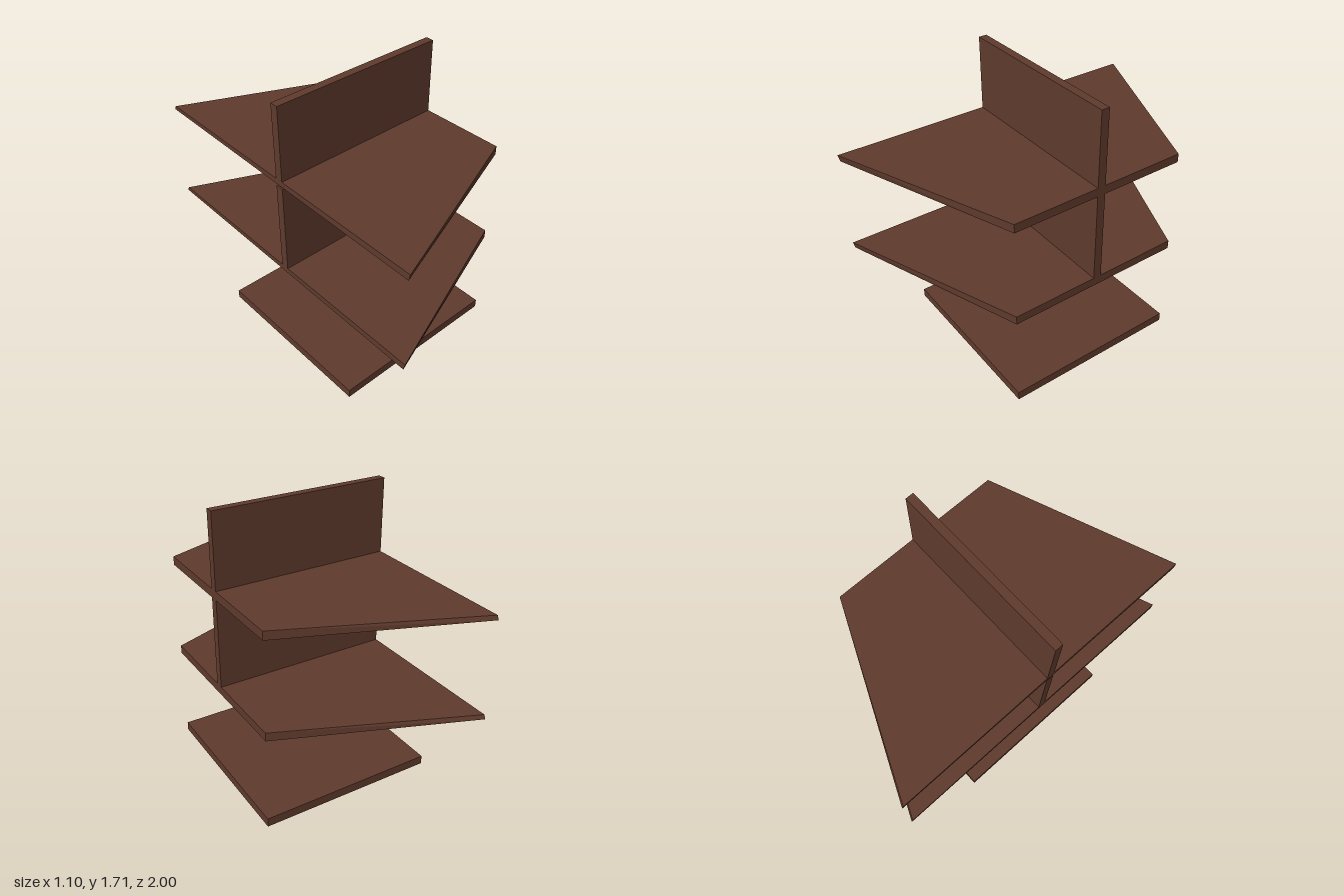
import * as THREE from 'three';
import { ConvexGeometry } from 'three/addons/geometries/ConvexGeometry.js';

const W = 0.55; // half width
const T = 0.053; // board thickness

export function createModel() {
  const model = new THREE.Group();
  model.name = 'shelfUnit';
  const wood = new THREE.MeshStandardMaterial({ color: 0x5f3a2d });
  wood.name = 'darkWood';

  const add = (name, geometry) => {
    const mesh = new THREE.Mesh(geometry, wood);
    mesh.name = name;
    model.add(mesh);
    return mesh;
  };

  // Axis-aligned board spanning the full width
  const board = (name, y0, y1, z0, z1) =>
    add(name, new THREE.BoxGeometry(2 * W, y1 - y0, z1 - z0))
      .position.set(0, (y0 + y1) / 2, (z0 + z1) / 2);

  // Shelf flaring towards -x, its underside thinning at the two long corners
  const shelf = (name, top) => {
    const corners = [
      [W, 0, 0.58], [W, 0, -0.52], [-W, 0, -0.99], [-W, 0, 1],
      [W, -T, 0.58], [W, -T, -0.52], [-W, -0.025, -1], [-W, -0.042, 0.99],
    ];
    add(name, new ConvexGeometry(
      corners.map(([x, y, z]) => new THREE.Vector3(x, top + y, z))));
  };

  board('basePlate', 0, 0.055, -0.52, 0.58);
  shelf('lowerShelf', 0.643);
  shelf('upperShelf', 1.25);

  // Upright divider, interrupted by the upper shelf
  board('lowerDivider', 0.643, 1.25 - T + 0.006, 0.005, 0.055);
  board('upperDivider', 1.25, 1.705, 0.005, 0.055);

  return model;
}
